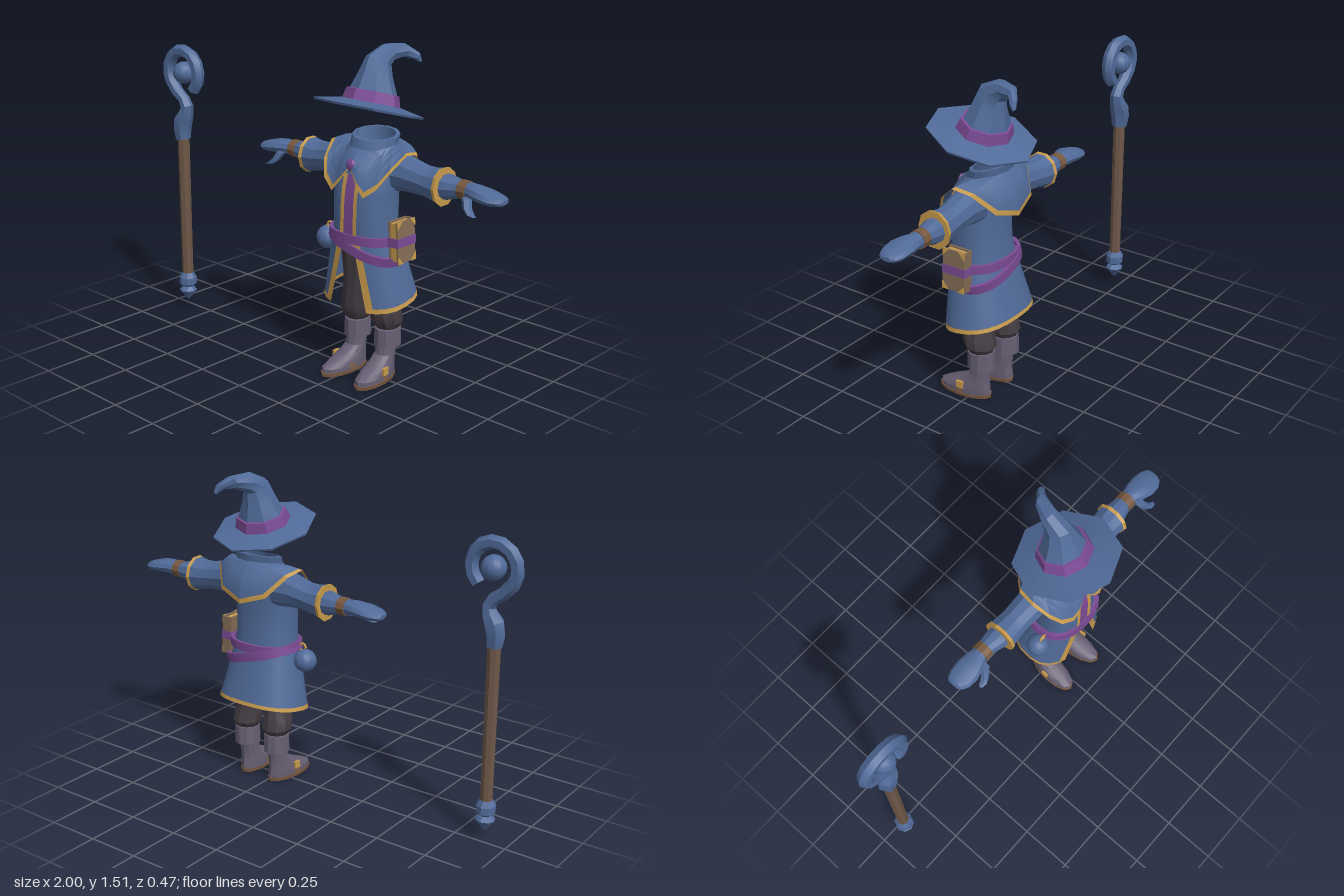
import * as THREE from 'three';
import { toCreasedNormals } from 'three/addons/utils/BufferGeometryUtils.js';

const { sin, cos, PI, sign, abs, pow } = Math;
const lerp = THREE.MathUtils.lerp;

function mat(name, color) {
  const m = new THREE.MeshStandardMaterial({ color, side: THREE.DoubleSide });
  m.name = name;
  return m;
}

function add(parent, name, geo, material, x = 0, y = 0, z = 0) {
  const mesh = new THREE.Mesh(toCreasedNormals(geo, 0.5), material);
  mesh.name = name;
  mesh.position.set(x, y, z);
  parent.add(mesh);
  return mesh;
}

// Surface from a point rule fn(u, v), both 0..1
function grid(nu, nv, fn) {
  const pos = [], idx = [];
  for (let j = 0; j <= nv; j++) for (let i = 0; i <= nu; i++) pos.push(...fn(i / nu, j / nv));
  for (let j = 0; j < nv; j++) for (let i = 0; i < nu; i++) {
    const a = j * (nu + 1) + i, b = a + nu + 1;
    idx.push(a, a + 1, b, a + 1, b + 1, b);
  }
  const g = new THREE.BufferGeometry();
  g.setAttribute('position', new THREE.Float32BufferAttribute(pos, 3));
  g.setIndex(idx);
  return g;
}

// Rounded-square outline; angle 0 is the front
const outline = (a, rx, rz, n) => [
  rx * sign(sin(a)) * pow(abs(sin(a)), 2 / n), rz * sign(cos(a)) * pow(abs(cos(a)), 2 / n)];

// Stacked rings [cx, cy, cz, rx, rz, tilt]; tilt lifts the front of a ring
function loft(rings, sides = 8, { cap = true, n = 2 } = {}) {
  const r = rings.slice();
  if (cap) {
    const end = q => [q[0], q[1], q[2], 0, 0, 0];
    r.unshift(end(r[0]));
    r.push(end(r[r.length - 1]));
  }
  return grid(sides, r.length - 1, (u, v) => {
    const [cx, cy, cz, rx, rz, t = 0] = r[Math.round(v * (r.length - 1))];
    const [x, z] = outline(u * 2 * PI, rx, rz, n);
    return [cx + x, cy + z * sin(t), cz + z * cos(t)];
  });
}

// Same, but running along x: [x, y, z, ry, rz]
const loftX = (rings, sides, opt) =>
  loft(rings.map(([x, y, z, ry, rz]) => [-y, x, z, ry, rz]), sides, opt).rotateZ(-PI / 2);

// Bar swept through [x, y, radius] in the xy plane
function sweep(pts, sides) {
  const last = pts.length - 1;
  return grid(sides, last + 2, (u, v) => {
    const k = Math.round(v * (last + 2)) - 1, i = Math.min(Math.max(k, 0), last);
    const p = pts[i], a = pts[Math.max(i - 1, 0)], b = pts[Math.min(i + 1, last)];
    const r = k === i ? p[2] : 0, len = Math.hypot(b[0] - a[0], b[1] - a[1]);
    const c = r * cos(u * 2 * PI);
    return [p[0] - c * (b[1] - a[1]) / len, p[1] + c * (b[0] - a[0]) / len, r * 1.05 * sin(u * 2 * PI)];
  });
}

export function createModel() {
  const root = new THREE.Group();
  const blue = mat('blue cloth', 0x506a98), purple = mat('purple sash', 0x7a4a93);
  const gold = mat('gold trim', 0xc79a4c), wood = mat('staff wood', 0x6d5747);
  const dark = mat('dark trousers', 0x423b41), boot = mat('boot leather', 0x665f73);
  const leather = mat('brown leather', 0x77583f), cover = mat('book cover', 0x836c55);
  const group = (name, parent, x = 0, y = 0, z = 0) => {
    const g = new THREE.Group();
    g.name = name;
    g.position.set(x, y, z);
    parent.add(g);
    return g;
  };

  // Staff
  const staff = group('staff', root, 0, 0, 0.035);
  add(staff, 'staffPole', new THREE.CylinderGeometry(0.03, 0.028, 0.76, 8), wood, -0.88, 0.54);
  add(staff, 'staffFoot', loft([[-0.88, 0.04, 0, 0.004, 0.004], [-0.88, 0.095, 0, 0.045, 0.045],
    [-0.88, 0.115, 0, 0.025, 0.025], [-0.88, 0.13, 0, 0.045, 0.045], [-0.88, 0.165, 0, 0.045, 0.045],
    [-0.88, 0.19, 0, 0.03, 0.03]], 8), blue);
  const crook = [[-0.88, 0.9, 0.036], [-0.885, 0.95, 0.043], [-0.875, 1.0, 0.046], [-0.852, 1.04, 0.036],
    [-0.846, 1.07, 0.031], [-0.867, 1.105, 0.028], [-0.912, 1.135, 0.029]];
  for (let i = 0; i <= 10; i++) {
    const a = (212 - 26 * i) * PI / 180;
    crook.push([-0.863 + 0.107 * cos(a), 1.24 + 0.107 * sin(a), 0.031]);
  }
  add(staff, 'staffCrook', sweep(crook, 6), blue);
  add(staff, 'staffOrb', new THREE.SphereGeometry(0.055, 12, 8), blue, -0.86, 1.238);

  const body = group('wizard', root, 0.312);

  // Hat
  const hat = group('hat', body);
  add(hat, 'hatBrim', loft([[0, 1.24, -0.01, 0.12, 0.12, 0.276], [0, 1.231, 0, 0.236, 0.24, 0.276],
    [0, 1.241, 0, 0.24, 0.245, 0.276], [0, 1.262, -0.01, 0.13, 0.125, 0.276]], 8, { cap: false }), blue);
  add(hat, 'hatCone', loft([[0, 1.255, -0.012, 0.124, 0.118, 0.276], [0, 1.31, -0.03, 0.105, 0.1, 0.276],
    [0, 1.38, -0.043, 0.072, 0.078, 0.3], [0, 1.437, -0.06, 0.052, 0.066, 0.42],
    [0.005, 1.465, -0.115, 0.042, 0.045, 1.15], [0.035, 1.47, -0.185, 0.032, 0.03, 1.75],
    [0.075, 1.448, -0.218, 0.022, 0.02, 2.3], [0.09, 1.422, -0.232, 0.009, 0.008, 2.6]], 8, { cap: false }), blue);
  add(hat, 'hatBand', loft([[0, 1.252, -0.012, 0.134, 0.127, 0.276], [0, 1.305, -0.026, 0.118, 0.113, 0.276],
    [0, 1.308, -0.028, 0.1, 0.098, 0.276]], 8, { cap: false }), purple);

  // Torso and front panel
  const torso = [[0, 0.62, 0, 0.158, 0.125], [0, 0.75, 0.01, 0.145, 0.114], [0, 0.88, 0.01, 0.152, 0.109],
    [0, 0.98, -0.005, 0.16, 0.098], [0, 1.07, -0.035, 0.112, 0.09]];
  add(body, 'torso', loft(torso, 20, { cap: false, n: 2.5 }), blue);
  const frontZ = y => {
    const i = Math.max(1, torso.findIndex(t => t[1] >= y)), a = torso[i - 1], b = torso[i];
    const k = (y - a[1]) / (b[1] - a[1]);
    return lerp(a[2] + a[4], b[2] + b[4], k) + 0.004;
  };
  const strip = (x0, x1) => grid(1, 6, (u, v) => {
    const y = lerp(0.63, 0.96, v);
    return [lerp(x0, x1, u), y, frontZ(y)];
  });
  add(body, 'frontPanel', strip(-0.026, 0.026), purple);
  for (const s of [-1, 1]) add(body, 'panelTrim', strip(s * 0.036 - 0.01, s * 0.036 + 0.01), gold);
  add(body, 'brooch', new THREE.SphereGeometry(0.026, 8, 6).scale(1, 1.1, 0.6), purple, 0, 1.005, 0.112);

  // Skirt, open at the front, with trim along its edges
  const skirt = (u, t) => {
    const rx = lerp(0.158, 0.222, t), rz = lerp(0.125, 0.16, t), gap = lerp(0.03, 0.105, t);
    const a0 = Math.asin(pow(gap / rx, 1.25));
    const [x, z] = outline(lerp(a0, 2 * PI - a0, u), rx, rz, 2.5);
    const zz = z + lerp(0.003, -0.027, t);
    return [x, lerp(0.66, 0.376 - 0.19 * zz, t), zz];
  };
  const skirtPatch = (u0, u1, t0, t1, nu, nt) =>
    grid(nu, nt, (u, v) => skirt(lerp(u0, u1, u), lerp(t0, t1, v)));
  add(body, 'skirt', skirtPatch(0.035, 0.965, 0, 0.93, 18, 3), blue);
  add(body, 'skirtHem', skirtPatch(0, 1, 0.93, 1, 20, 1), gold);
  add(body, 'skirtEdge', skirtPatch(0, 0.035, 0, 0.93, 1, 3), gold);
  add(body, 'skirtEdge', skirtPatch(0.965, 1, 0, 0.93, 1, 3), gold);

  // Belts
  const belt = (h, rx, rz) => loft([[0, -h, 0, rx - 0.015, rz - 0.015], [0, -h, 0, rx, rz],
    [0, h, 0, rx, rz], [0, h, 0, rx - 0.015, rz - 0.015]], 20, { cap: false, n: 2.4 });
  add(body, 'upperBelt', belt(0.02, 0.176, 0.137), purple, 0, 0.678, 0);
  add(body, 'lowerBelt', belt(0.021, 0.192, 0.143).rotateZ(-0.27), purple, 0.008, 0.635, -0.004);

  // Book on the belt
  const book = group('book', body, 0.196, 0.683, -0.003);
  book.rotation.z = 0.06;
  add(book, 'bookPages', new THREE.BoxGeometry(0.034, 0.17, 0.104), gold);
  for (const s of [-1, 1]) add(book, 'bookCover', new THREE.BoxGeometry(0.01, 0.186, 0.116), cover, s * 0.021);
  add(book, 'bookSpine', new THREE.BoxGeometry(0.04, 0.186, 0.008), cover, 0, 0, -0.055);
  add(book, 'bookStrap', new THREE.BoxGeometry(0.058, 0.04, 0.122), purple);
  const corner = new THREE.Shape([[0, 0], [-0.034, 0], [0, -0.034]].map(p => new THREE.Vector2(...p)));
  for (const sy of [-1, 1]) for (const sz of [-1, 1]) {
    const g = new THREE.ExtrudeGeometry(corner, { depth: 0.004, bevelEnabled: false }).rotateY(-PI / 2);
    add(book, 'bookCorner', g, gold, 0.029, sy * 0.094, sz * 0.059).scale.set(1, sy, sz);
  }

  // Hanging orb
  add(body, 'beltOrb', new THREE.SphereGeometry(0.055, 12, 8), blue, -0.207, 0.615, 0.03);
  add(body, 'orbRing', new THREE.TorusGeometry(0.018, 0.006, 5, 8), gold, -0.185, 0.675, 0.04);

  // Shoulder mantle: hem points from the front to the back of one side
  const hem = [[0.008, 0.985, 0.122], [0.05, 0.925, 0.137], [0.09, 0.88, 0.137], [0.15, 0.925, 0.12],
    [0.19, 0.995, 0.08], [0.217, 1.065, 0], [0.203, 1.048, -0.09], [0.13, 0.955, -0.165], [0, 0.912, -0.19]];
  const mantle = (v0, v1, nv) => grid(8, nv, (u, v) => {
    const h = hem[Math.round(u * 8)], t = lerp(v0, v1, v), a = u * PI, puff = 0.022 * sin(PI * t);
    return [lerp(0.112 * sin(a), h[0], t), lerp(1.085 - 0.02 * cos(a), h[1], t) + puff * 0.6 * sin(a),
      lerp(-0.035 + 0.095 * cos(a), h[2], t) + puff * cos(a)];
  });
  add(body, 'collar', loft([[0, 1.065, -0.035, 0.113, 0.097, -0.2], [0, 1.118, -0.05, 0.118, 0.088, -0.2],
    [0, 1.12, -0.05, 0.1, 0.072, -0.2], [0, 1.06, -0.035, 0.096, 0.08, -0.2]], 12, { cap: false }), blue);

  for (const s of [-1, 1]) {
    const half = group(s > 0 ? 'leftSide' : 'rightSide', body);
    half.scale.x = s;
    add(half, 'mantle', mantle(0, 0.88, 3), blue);
    add(half, 'mantleTrim', mantle(0.88, 1, 1), gold);

    // Arm
    add(half, 'sleeve', loftX([[0.11, 0.975, -0.035, 0.09, 0.08], [0.2, 0.975, -0.038, 0.077, 0.072],
      [0.29, 0.962, -0.042, 0.066, 0.066], [0.33, 0.957, -0.043, 0.07, 0.07], [0.378, 0.955, -0.043, 0.08, 0.075],
      [0.378, 0.955, -0.043, 0.05, 0.05]], 10, { cap: false }), blue);
    add(half, 'sleeveTrim', loftX([[0.374, 0.955, -0.043, 0.082, 0.078], [0.39, 0.955, -0.043, 0.086, 0.082],
      [0.39, 0.955, -0.043, 0.05, 0.05]], 10, { cap: false }), gold);
    add(half, 'gloveCuff', loftX([[0.37, 0.955, -0.045, 0.056, 0.056], [0.41, 0.957, -0.048, 0.055, 0.054],
      [0.47, 0.96, -0.053, 0.038, 0.04], [0.53, 0.96, -0.053, 0.036, 0.038]], 10), blue);
    add(half, 'wristBand', loftX([[0.468, 0.96, -0.053, 0.041, 0.044], [0.508, 0.96, -0.053, 0.041, 0.044]], 10), leather);
    add(half, 'hand', loftX([[0.5, 0.96, -0.053, 0.034, 0.036], [0.55, 0.962, -0.048, 0.034, 0.052],
      [0.6, 0.958, -0.043, 0.032, 0.062], [0.65, 0.951, -0.043, 0.026, 0.058], [0.68, 0.949, -0.045, 0.019, 0.042],
      [0.69, 0.948, -0.047, 0.01, 0.025]], 10), blue);
    add(half, 'thumb', loft([[0.535, 0.945, 0.0, 0.022, 0.022], [0.552, 0.91, 0.018, 0.02, 0.02],
      [0.575, 0.89, 0.028, 0.017, 0.018], [0.598, 0.885, 0.032, 0.008, 0.01]], 6), blue);

    // Leg
    add(half, 'trouserLeg', loft([[0.048, 0.62, 0, 0.075, 0.09], [0.06, 0.48, -0.012, 0.062, 0.075],
      [0.08, 0.36, -0.022, 0.058, 0.07], [0.088, 0.315, -0.03, 0.069, 0.078], [0.09, 0.27, -0.042, 0.07, 0.076],
      [0.09, 0.24, -0.045, 0.052, 0.056]], 10), dark);
    add(half, 'bootCuff', loft([[0.09, 0.15, -0.044, 0.046, 0.05], [0.09, 0.155, -0.046, 0.062, 0.066],
      [0.09, 0.24, -0.046, 0.059, 0.064, -0.08], [0.09, 0.245, -0.046, 0.048, 0.052, -0.08]], 10), boot);
    const foot = group('foot', half, 0.09);
    foot.rotation.y = 0.08;
    add(foot, 'boot', loft([[0, 0.014, 0.043, 0.056, 0.13], [0, 0.035, 0.042, 0.058, 0.13],
      [0, 0.058, 0.022, 0.055, 0.106], [0, 0.085, -0.01, 0.05, 0.072], [0, 0.115, -0.033, 0.046, 0.049],
      [0, 0.17, -0.04, 0.048, 0.049]], 12), boot);
    add(foot, 'sole', loft([[0, 0, 0.044, 0.058, 0.134], [0, 0.016, 0.044, 0.06, 0.136]], 12), leather);
    add(foot, 'bootStrap', grid(8, 1, (u, v) =>
      [0.061 * cos(u * PI), 0.015 + 0.075 * sin(u * PI), 0.056 - 0.03 * v]), leather);
    add(foot, 'buckle', new THREE.BoxGeometry(0.012, 0.034, 0.034), gold, 0.056, 0.06, 0.041);
  }
  return root;
}
